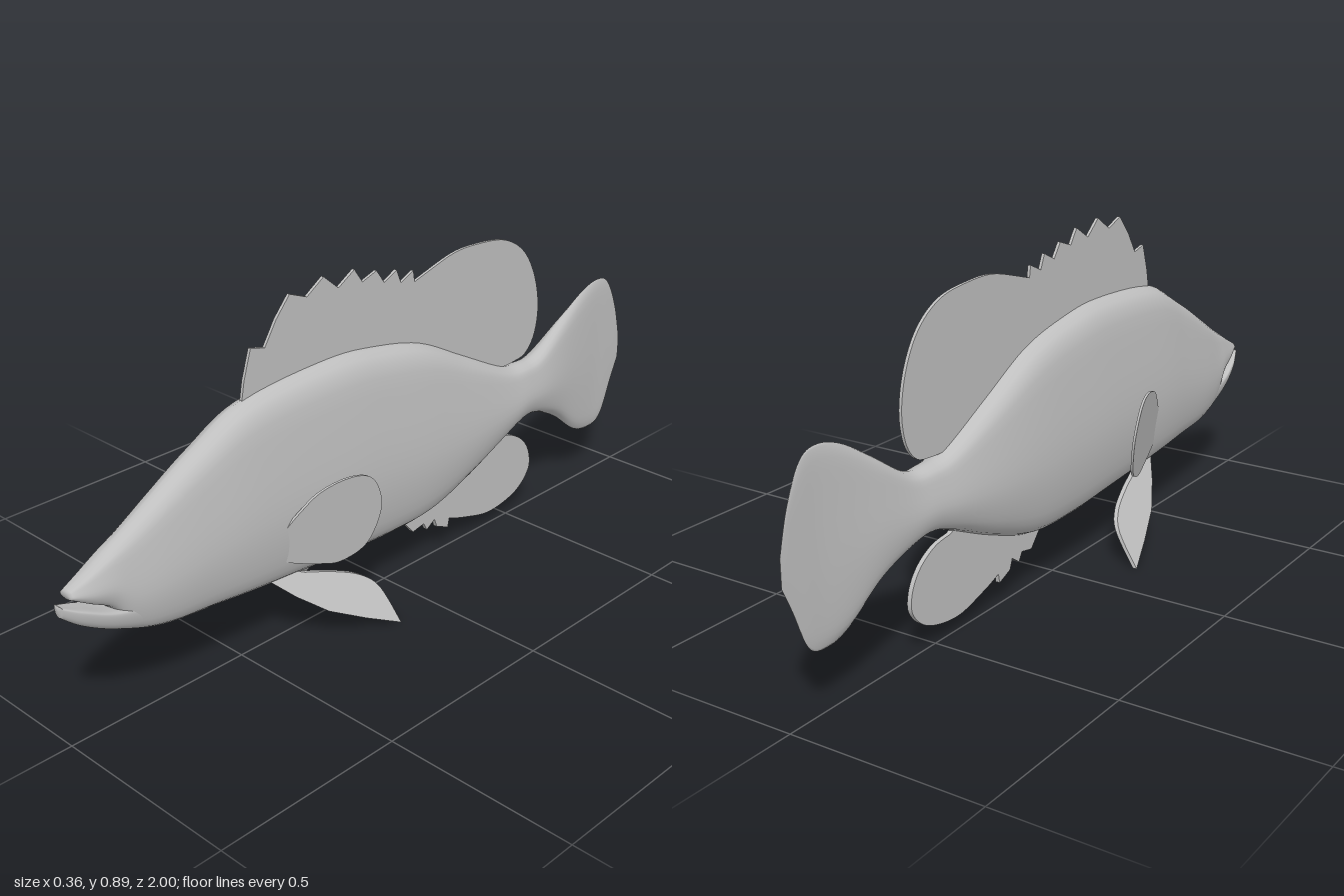
import * as THREE from 'three';

const skin = new THREE.MeshStandardMaterial({ color: 0xbfbfbf });
skin.name = 'paleGrey';

const vec = (p) => new THREE.Vector2(p[0], p[1]);

// Smooth loft: rows are [z, top, bottom, halfWidth] from back to front,
// half is the right half of the section as [width, height] fractions.
function loft(name, rows, half, steps) {
  const spline = (k) => new THREE.SplineCurve(rows.map((r) => new THREE.Vector2(r[0], r[k])));
  const [top, bottom, width] = [1, 2, 3].map(spline);
  const side = new THREE.SplineCurve(half.map(vec)).getPoints(18);
  const ring = [...side, ...side.slice(1, -1).reverse().map((p) => new THREE.Vector2(-p.x, p.y))];
  const n = ring.length;
  const pos = [];
  const index = [];
  for (let i = 0; i <= steps; i++) {
    const t = i / steps;
    const a = top.getPoint(t), b = bottom.getPoint(t), w = width.getPoint(t).y;
    for (const p of ring) pos.push(p.x * w, b.y + p.y * (a.y - b.y), a.x);
    if (i === steps) break;
    for (let j = 0; j < n; j++) {
      const p = i * n + j, q = i * n + (j + 1) % n;
      index.push(p, p + n, q, q, p + n, q + n);
    }
  }
  // End caps
  const first = rows[0], last = rows[rows.length - 1];
  const c = pos.length / 3;
  pos.push(0, (first[1] + first[2]) / 2, first[0], 0, (last[1] + last[2]) / 2, last[0]);
  for (let j = 0; j < n; j++) {
    const k = (j + 1) % n;
    index.push(c, j, k, c + 1, steps * n + k, steps * n + j);
  }
  const geo = new THREE.BufferGeometry();
  geo.setAttribute('position', new THREE.Float32BufferAttribute(pos, 3));
  geo.setIndex(index);
  geo.computeVertexNormals();
  const mesh = new THREE.Mesh(geo, skin);
  mesh.name = name;
  return mesh;
}

// Thin fin from a [z, y] outline: straight spines, a curved edge, a straight base.
// lean(z, y) gives its sideways offset.
function fin(name, { spines, curve, base = [] }, thickness, lean = () => 0) {
  const shape = new THREE.Shape();
  spines.forEach(([z, y], i) => (i ? shape.lineTo(-z, y) : shape.moveTo(-z, y)));
  shape.splineThru(curve.map(([z, y]) => new THREE.Vector2(-z, y)));
  base.forEach(([z, y]) => shape.lineTo(-z, y));
  const geo = new THREE.ExtrudeGeometry(shape, { depth: thickness, bevelEnabled: false, curveSegments: 36 });
  geo.translate(0, 0, -thickness / 2).rotateY(Math.PI / 2);
  const p = geo.attributes.position;
  for (let i = 0; i < p.count; i++) p.setX(i, p.getX(i) + lean(p.getZ(i), p.getY(i)));
  geo.computeVertexNormals();
  const mesh = new THREE.Mesh(geo, skin);
  mesh.name = name;
  return mesh;
}

export function createModel() {
  const fish = new THREE.Group();
  fish.name = 'fish';

  // Body with tail fin and upper jaw
  fish.add(loft('body', [
    [-1, 0.4, 0.33, 0.001], [-0.973, 0.5, 0.27, 0.003], [-0.93, 0.585, 0.17, 0.006],
    [-0.877, 0.606, 0.148, 0.01], [-0.8, 0.585, 0.165, 0.02], [-0.7, 0.525, 0.24, 0.034],
    [-0.6, 0.462, 0.285, 0.045], [-0.53, 0.455, 0.295, 0.052], [-0.45, 0.47, 0.27, 0.06],
    [-0.287, 0.552, 0.2, 0.073], [-0.126, 0.633, 0.147, 0.079], [0.035, 0.672, 0.14, 0.08],
    [0.2, 0.688, 0.15, 0.08], [0.46, 0.668, 0.17, 0.077], [0.61, 0.6, 0.187, 0.07],
    [0.73, 0.53, 0.2, 0.062], [0.82, 0.475, 0.23, 0.052], [0.875, 0.443, 0.305, 0.044],
    [0.93, 0.412, 0.34, 0.034], [0.978, 0.388, 0.37, 0.02],
  ], [[0, 1], [0.58, 0.93], [0.82, 0.72], [1, 0.42], [0.9, 0.2], [0.62, 0.06], [0, 0]], 114));

  // Lower jaw
  fish.add(loft('lowerJaw', [
    [0.62, 0.27, 0.19, 0.05], [0.75, 0.29, 0.206, 0.05], [0.87, 0.306, 0.25, 0.043],
    [0.95, 0.337, 0.292, 0.031], [1, 0.36, 0.332, 0.014],
  ], [[0, 1], [0.85, 1], [1, 0.8], [0.85, 0.35], [0.5, 0.08], [0, 0]], 28));

  // Dorsal fin: spiny front, rounded back
  fish.add(fin('dorsalFin', {
    spines: [
      [0.475, 0.63], [0.46, 0.71], [0.437, 0.783], [0.394, 0.772], [0.357, 0.83], [0.314, 0.879],
      [0.26, 0.858], [0.206, 0.893], [0.158, 0.853], [0.105, 0.885], [0.078, 0.847], [0.03, 0.863],
      [0.003, 0.826], [-0.04, 0.847], [-0.056, 0.81], [-0.1, 0.83], [-0.105, 0.8], [-0.147, 0.812],
    ],
    curve: [
      [-0.25, 0.838], [-0.34, 0.84], [-0.45, 0.825], [-0.53, 0.777], [-0.58, 0.7], [-0.603, 0.606],
      [-0.592, 0.525], [-0.555, 0.477], [-0.5, 0.466], [-0.45, 0.465],
    ],
    base: [[-0.42, 0.44], [-0.29, 0.5], [-0.1, 0.58], [0.1, 0.62], [0.4, 0.62]],
  }, 0.008));

  // Anal fin
  fish.add(fin('analFin', {
    spines: [
      [-0.05, 0.16], [-0.07, 0.14], [-0.105, 0.1], [-0.147, 0.108], [-0.16, 0.085], [-0.19, 0.105],
      [-0.2, 0.078], [-0.245, 0.06], [-0.25, 0.085],
    ],
    curve: [
      [-0.314, 0.063], [-0.42, 0.04], [-0.53, 0.06], [-0.587, 0.11], [-0.587, 0.166],
      [-0.555, 0.215], [-0.5, 0.248], [-0.44, 0.258],
    ],
    base: [[-0.4, 0.28], [-0.25, 0.24], [-0.1, 0.18]],
  }, 0.012));

  // Paired fins
  for (const [label, side] of [['left', 1], ['right', -1]]) {
    fish.add(fin(label + 'PectoralFin', {
      spines: [[0.42, 0.25], [0.42, 0.33]],
      curve: [
        [0.38, 0.375], [0.33, 0.418], [0.26, 0.438], [0.205, 0.428], [0.175, 0.386], [0.163, 0.327],
        [0.18, 0.257], [0.21, 0.22], [0.265, 0.202], [0.315, 0.212], [0.37, 0.23],
      ],
    }, 0.007, (z, y) => side * (0.068 + 0.29 * (0.42 - z) + 0.13 * (y - 0.32))));

    fish.add(fin(label + 'PelvicFin', {
      spines: [[0.4, 0.21], [0.437, 0.195], [0.385, 0.145], [0.314, 0.09], [0.22, 0.043], [0.126, 0.001]],
      curve: [[0.14, 0.085], [0.18, 0.125], [0.25, 0.155], [0.33, 0.18]],
    }, 0.012, (z, y) => side * (0.038 + 0.72 * (0.19 - y))));
  }
  return fish;
}
